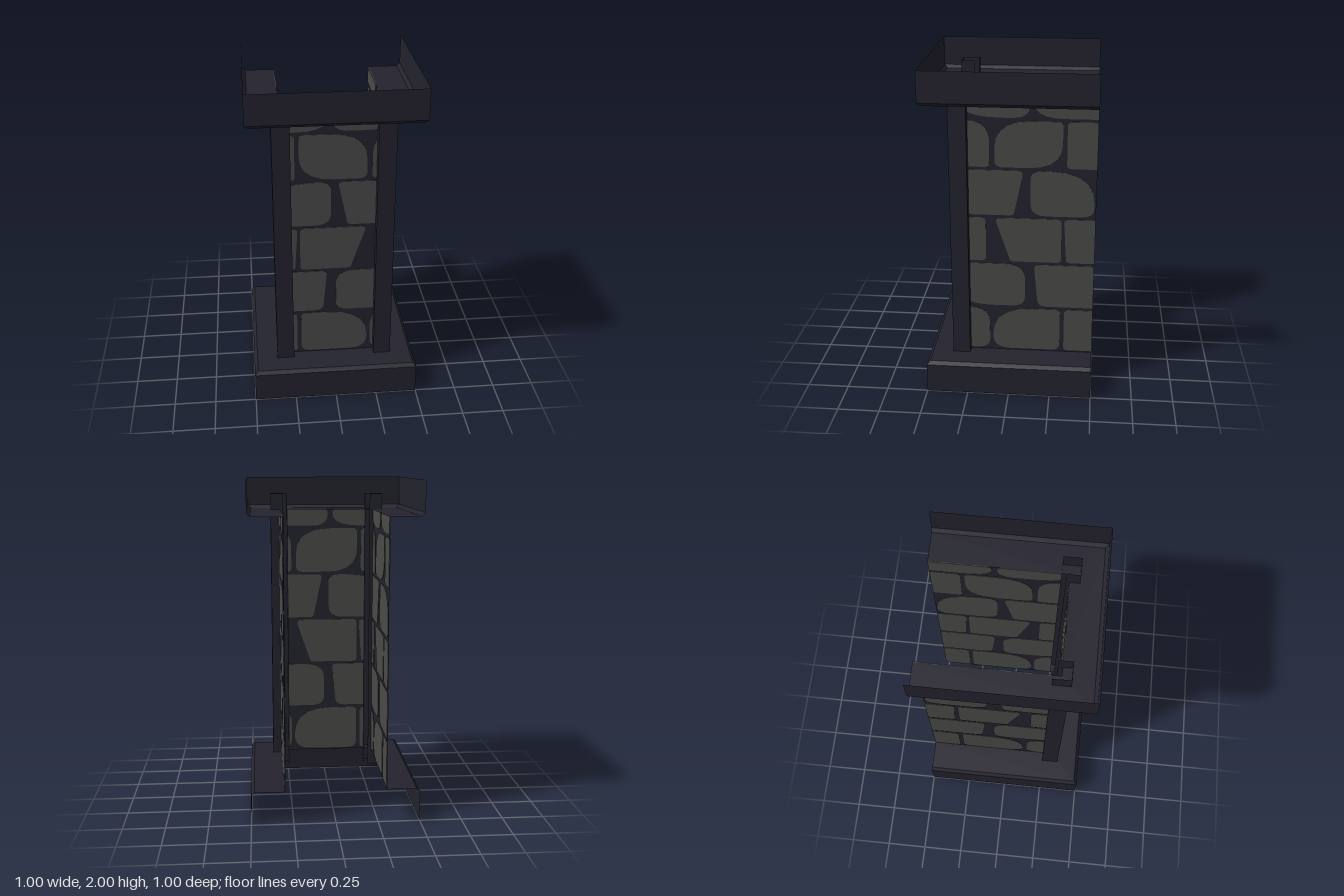
import * as THREE from 'three';

const dark = new THREE.MeshStandardMaterial({ color: 0x24232e, side: THREE.DoubleSide });
dark.name = 'dark mortar';
const stone = new THREE.MeshStandardMaterial({ color: 0x4b4b4a, side: THREE.DoubleSide });
stone.name = 'grey stone';

// Courses from the bottom up. Each stone: start and end along the wall, corner
// cuts (tl, tr, br, bl) and shifts of its lower left and right ends (l, r).
const COURSES = [
  [{ u: [-0.3, -0.13], tr: 0.13, br: 0.08 }, { u: [-0.11, 0.3], tl: 0.24, bl: 0.11, br: 0.06 }, { u: [0.325, 0.55] }],
  [{ u: [-0.35, 0.085], tr: 0.12, br: 0.08, bl: 0.22 }, { u: [0.14, 0.55], bl: 0.06, l: 0.02 }],
  [{ u: [-0.3, -0.15] }, { u: [-0.09, 0.3], l: 0.08 }, { u: [0.315, 0.55], l: 0.015 }],
  [{ u: [-0.3, 0.07], r: -0.05 }, { u: [0.115, 0.49], tl: 0.07, tr: 0.26, br: 0.08, bl: 0.1 }],
  [{ u: [-0.3, -0.125], tr: 0.15 }, { u: [-0.095, 0.3], tl: 0.22, br: 0.2, bl: 0.05 }, { u: [0.325, 0.55] }],
  [{ u: [-0.28, 0.11], br: 0.1, bl: 0.22 }, { u: [0.14, 0.55], bl: 0.18 }],
];

// Outline of one stone with softly cut corners
function outlineOf({ u: [u0, u1], tl = 0.03, tr = 0.03, br = 0.03, bl = 0.03, l = 0, r = 0 }, y0, y1) {
  const drop = cut => Math.min(cut * 0.75, (y1 - y0) * 0.75);
  const a = u0 + l, b = u1 + r;
  const shape = new THREE.Shape();
  shape.moveTo(u0, y1 - drop(tl));
  shape.quadraticCurveTo(u0, y1, u0 + tl, y1);
  shape.lineTo(u1 - tr, y1);
  shape.quadraticCurveTo(u1, y1, u1, y1 - drop(tr));
  shape.lineTo(b, y0 + drop(br));
  shape.quadraticCurveTo(b, y0, b - br, y0);
  shape.lineTo(a + bl, y0);
  shape.quadraticCurveTo(a, y0, a, y0 + drop(bl));
  return shape.getPoints(5);
}

const STONES = COURSES.flatMap((course, row) => {
  const y0 = 0.21 + row * 0.297;
  return course.map(s => outlineOf(s, y0, Math.min(y0 + 0.28, 1.8)));
});

// Keep the part of an outline on one side of a vertical line
function clip(points, limit, sign) {
  const out = [];
  points.forEach((p, i) => {
    const q = points[(i + 1) % points.length];
    const a = (p.x - limit) * sign, b = (q.x - limit) * sign;
    if (a >= 0) out.push(p);
    if (a * b < 0) out.push(p.clone().lerp(q, a / (a - b)));
  });
  return out;
}

// Flat-shaded sheet spanning equal-length rows of points
function sheet(rows) {
  const n = rows[0].length, index = [];
  for (let r = 0; r < rows.length - 1; r++) {
    for (let i = 0; i < n - 1; i++) {
      const a = r * n + i, b = a + n;
      index.push(a, a + 1, b, a + 1, b + 1, b);
    }
  }
  const indexed = new THREE.BufferGeometry();
  indexed.setAttribute('position', new THREE.Float32BufferAttribute(rows.flat(2), 3));
  indexed.setIndex(index);
  const geometry = indexed.toNonIndexed();
  geometry.computeVertexNormals();
  return geometry;
}

function add(parent, name, geometry, material) {
  const mesh = new THREE.Mesh(geometry, material);
  mesh.name = name;
  parent.add(mesh);
}

// Mortar sheet with thin stones showing on both faces
function makeWall(name, from, to, outlines) {
  const wall = new THREE.Group();
  wall.name = name;
  const mortar = new THREE.PlaneGeometry(to - from, 1.6);
  mortar.translate((from + to) / 2, 1, 0);
  add(wall, 'mortar', mortar, dark);
  for (const outline of outlines) {
    const points = clip(clip(outline, from, 1), to, -1);
    if (points.length < 3) continue;
    const plate = new THREE.ExtrudeGeometry(new THREE.Shape(points), { depth: 0.006, bevelEnabled: false });
    plate.translate(0, 0, -0.003);
    add(wall, 'stone', plate, stone);
  }
  return wall;
}

export function createModel() {
  const model = new THREE.Group();
  model.name = 'stonePillar';

  // Base and capital: a chamfered ledge around three sides, open at the back
  const profile = [[0.5, 0], [0.5, 0.18], [0.48, 0.2], [0.3, 0.2]];
  for (const [name, height] of [['base', y => y], ['capital', y => 2 - y]]) {
    const rows = profile.map(([r, y]) =>
      [[-r, -0.5], [-r, r], [r, r], [r, -0.5]].map(([x, z]) => [x, height(y), z]));
    add(model, name, sheet(rows), dark);
  }

  // Front corner posts, open on the inside
  const section = [[0.25, 0.275], [0.25, 0.355], [0.355, 0.355], [0.355, 0.25], [0.275, 0.25]];
  for (const side of [1, -1]) {
    const rows = [0.1, 1.9].map(y => section.map(([x, z]) => [x * side, y, z]));
    add(model, side > 0 ? 'leftPost' : 'rightPost', sheet(rows), dark);
  }

  // Front wall carries the same pattern, reversed and shifted
  const front = makeWall('frontWall', -0.25, 0.25,
    STONES.map(s => s.map(p => new THREE.Vector2(0.1 - p.x, p.y))));
  front.position.z = 0.3;
  model.add(front);

  // Side walls run from the posts to the open back
  for (const side of [1, -1]) {
    const wall = makeWall(side > 0 ? 'leftWall' : 'rightWall', -0.25, 0.5, STONES);
    wall.rotation.y = Math.PI / 2;
    wall.position.x = side * 0.3;
    model.add(wall);
  }
  return model;
}
